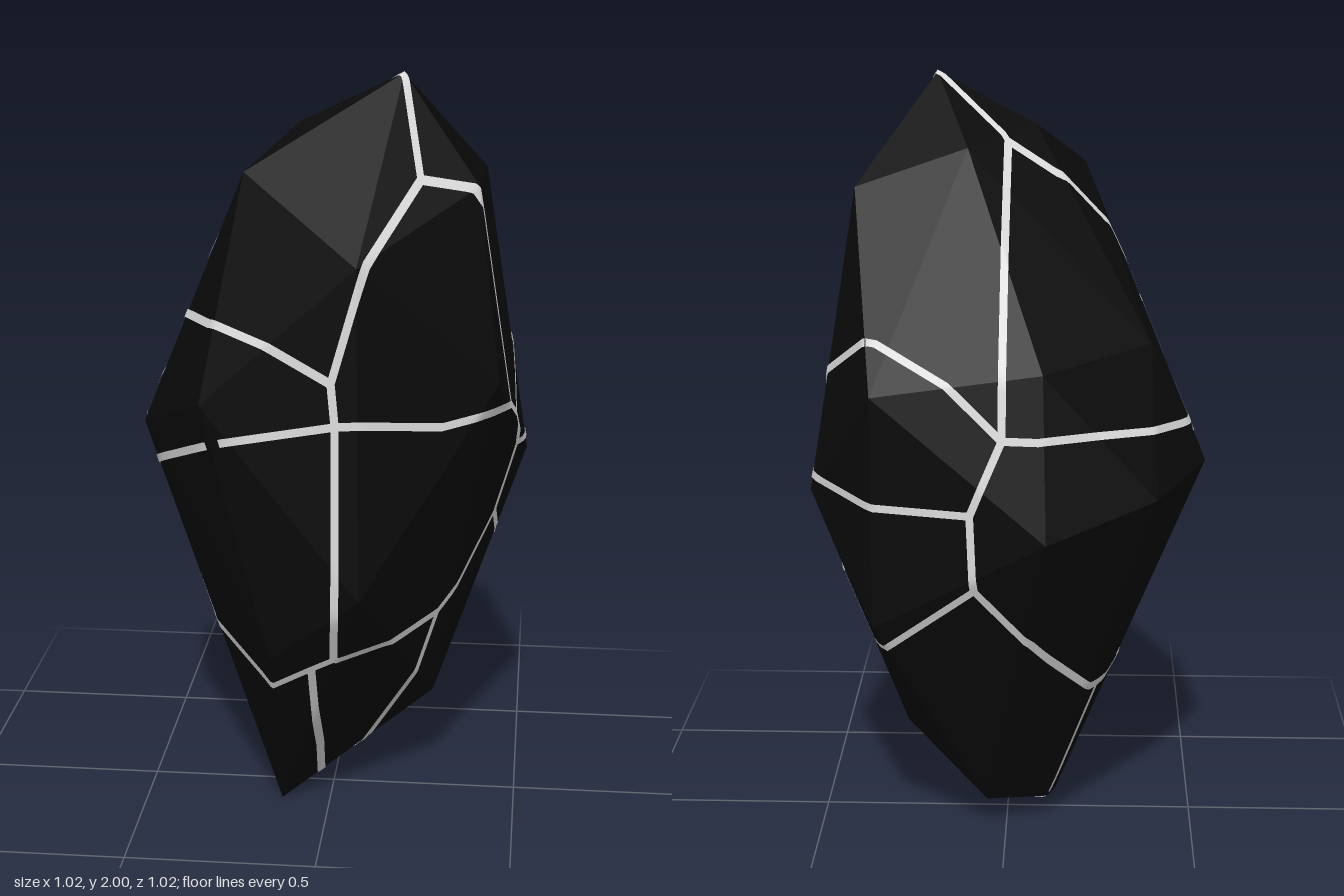
import * as THREE from 'three';
import { ConvexGeometry } from 'three/addons/geometries/ConvexGeometry.js';

// Corners of the faceted stone
const CORNERS = [
  [0.19, 2, 0.19], [-0.07, 1.87, 0.14], [-0.2, 1.76, 0.245], [0.1, 1.83, -0.05],
  [0.39, 1.73, -0.05], [0.38, 1.73, 0.22], [0.1, 1.58, 0.49], [-0.37, 1.36, -0.2],
  [-0.1, 1.33, -0.44], [0.33, 1.26, -0.395], [0.44, 1.25, 0.3], [-0.29, 1.22, 0.45],
  [-0.47, 1.1, 0.2], [-0.515, 1.04, -0.14], [-0.385, 1, -0.385], [0.51, 0.95, -0.14],
  [-0.11, 0.92, -0.515], [0.11, 0.74, 0.51], [0.33, 0.66, -0.395], [-0.12, 0.55, 0.44],
  [0.27, 0.27, -0.04], [0.05, 0.085, -0.15], [-0.11, 0.06, -0.07], [-0.13, 0, 0.12],
];

// Junctions where seams meet
const J = {
  apex: [0.19, 2, 0.19], top: [0, 1.88, 0.04], shoulder: [0.24, 1.76, 0.3],
  frontUp: [0.04, 1.3, 0.5], front: [0.05, 1.19, 0.5], frontLow: [0.04, 0.52, 0.43],
  foot: [-0.02, 0.49, 0.42], side: [0.47, 1.15, 0.13], sideUp: [0.48, 1.1, 0.04],
  sideMid: [0.5, 1, -0.02], sideLow: [0.48, 0.78, -0.03], sideFoot: [0.32, 0.52, 0.14],
  back: [0, 1.17, -0.46], backMid: [0.08, 0.98, -0.47], backLow: [0.07, 0.78, -0.46],
  flankUp: [-0.37, 1.37, 0.15], flank: [-0.47, 1.12, 0.02], flankLow: [-0.45, 0.96, 0.1],
  heel: [-0.24, 0.43, -0.14], base: [-0.03, 0.06, -0.02],
};

// Seam paths from junction to junction
const SEAMS = [
  [J.apex, J.top], [J.apex, J.shoulder],
  [J.shoulder, [0.38, 1.75, 0.24], [0.4, 1.68, 0.22], J.side],
  [J.shoulder, [0.12, 1.57, 0.46], J.frontUp, J.front],
  [J.top, [0, 1.5, -0.28], J.back],
  [J.top, [-0.13, 1.8, 0.05], [-0.25, 1.63, 0.08], J.flankUp],
  [J.flankUp, [-0.27, 1.4, 0.36], [-0.1, 1.36, 0.46], J.frontUp],
  [J.flankUp, J.flank, J.flankLow], [J.flankLow, J.front],
  [J.flank, [-0.45, 1.15, -0.19], [-0.37, 1.16, -0.31], [-0.2, 1.17, -0.42], [-0.09, 1.17, -0.47], J.back],
  [J.front, [0.3, 1.16, 0.38], J.side], [J.side, J.sideUp, J.sideMid, J.sideLow, J.sideFoot],
  [J.sideUp, [0.47, 1.2, -0.05], [0.45, 1.26, -0.11], [0.31, 1.37, -0.31], [0.14, 1.3, -0.42], J.back],
  [J.sideMid, [0.31, 0.98, -0.38], J.backMid],
  [J.sideLow, [0.46, 0.72, -0.1], [0.29, 0.61, -0.36], J.backLow],
  [J.back, J.backMid, J.backLow], [J.backLow, [-0.07, 0.62, -0.37], J.heel],
  [J.heel, [-0.33, 0.52, 0.14], J.flankLow], [J.heel, J.base],
  [[-0.33, 0.52, 0.14], [-0.15, 0.45, 0.37], J.foot, J.frontLow],
  [J.front, [0.05, 0.85, 0.5], J.frontLow], [J.frontLow, [0.2, 0.45, 0.36], J.sideFoot],
  [J.sideFoot, [0.24, 0.33, 0.1], J.base], [J.foot, [-0.02, 0.15, 0.2], J.base],
];

const WIDTH = 0.02, LIFT = 0.004;
const CENTRE = new THREE.Vector3(0, 1, 0);

// Face planes of a convex geometry, relative to its centre
function facePlanes(geo) {
  const p = geo.attributes.position, planes = [];
  const corner = (i) => new THREE.Vector3().fromBufferAttribute(p, i).sub(CENTRE);
  for (let i = 0; i < p.count; i += 3) {
    planes.push(new THREE.Plane().setFromCoplanarPoints(corner(i), corner(i + 1), corner(i + 2)));
  }
  return planes;
}

// Moves a point along its ray from the centre onto the stone
function ontoStone(point, planes) {
  const dir = point.clone().sub(CENTRE).normalize();
  let reach = Infinity;
  for (const pl of planes) {
    const slope = pl.normal.dot(dir);
    if (slope > 1e-5) reach = Math.min(reach, -pl.constant / slope);
  }
  return dir.multiplyScalar(reach + LIFT).add(CENTRE);
}

// Thin ribbon laid over the facets along a path
function seamGeometry(path, planes) {
  const line = [];
  path.map((a) => new THREE.Vector3(...a)).forEach((v, i, all) => {
    if (i === 0) return;
    for (let k = i === 1 ? 0 : 1; k <= 14; k++) {
      line.push(ontoStone(all[i - 1].clone().lerp(v, k / 14), planes));
    }
  });
  const pos = [], index = [];
  line.forEach((p, i) => {
    const along = line[Math.min(i + 1, line.length - 1)].clone().sub(line[Math.max(i - 1, 0)]);
    const across = along.cross(p.clone().sub(CENTRE)).normalize();
    for (const s of [-0.5, 0, 0.5]) {
      pos.push(...ontoStone(p.clone().addScaledVector(across, s * WIDTH), planes).toArray());
    }
    if (i === 0) return;
    for (let c = 0; c < 2; c++) {
      const a = (i - 1) * 3 + c, b = a + 3;
      index.push(a, a + 1, b, b, a + 1, b + 1);
    }
  });
  const geo = new THREE.BufferGeometry();
  geo.setAttribute('position', new THREE.Float32BufferAttribute(pos, 3));
  geo.setIndex(index);
  geo.computeVertexNormals();
  return geo;
}

export function createModel() {
  const black = new THREE.MeshStandardMaterial({ color: 0x0a0a0a });
  black.name = 'black stone';
  const white = new THREE.MeshStandardMaterial({ color: 0xdcdcdc, side: THREE.DoubleSide });
  white.name = 'pale seam';

  const model = new THREE.Group();
  model.name = 'crackedStone';

  const stone = new THREE.Mesh(new ConvexGeometry(CORNERS.map((c) => new THREE.Vector3(...c))), black);
  stone.name = 'stone';
  model.add(stone);

  const seams = new THREE.Group();
  seams.name = 'seams';
  const planes = facePlanes(stone.geometry);
  for (const path of SEAMS) {
    const seam = new THREE.Mesh(seamGeometry(path, planes), white);
    seam.name = 'seam';
    seams.add(seam);
  }
  model.add(seams);
  return model;
}
